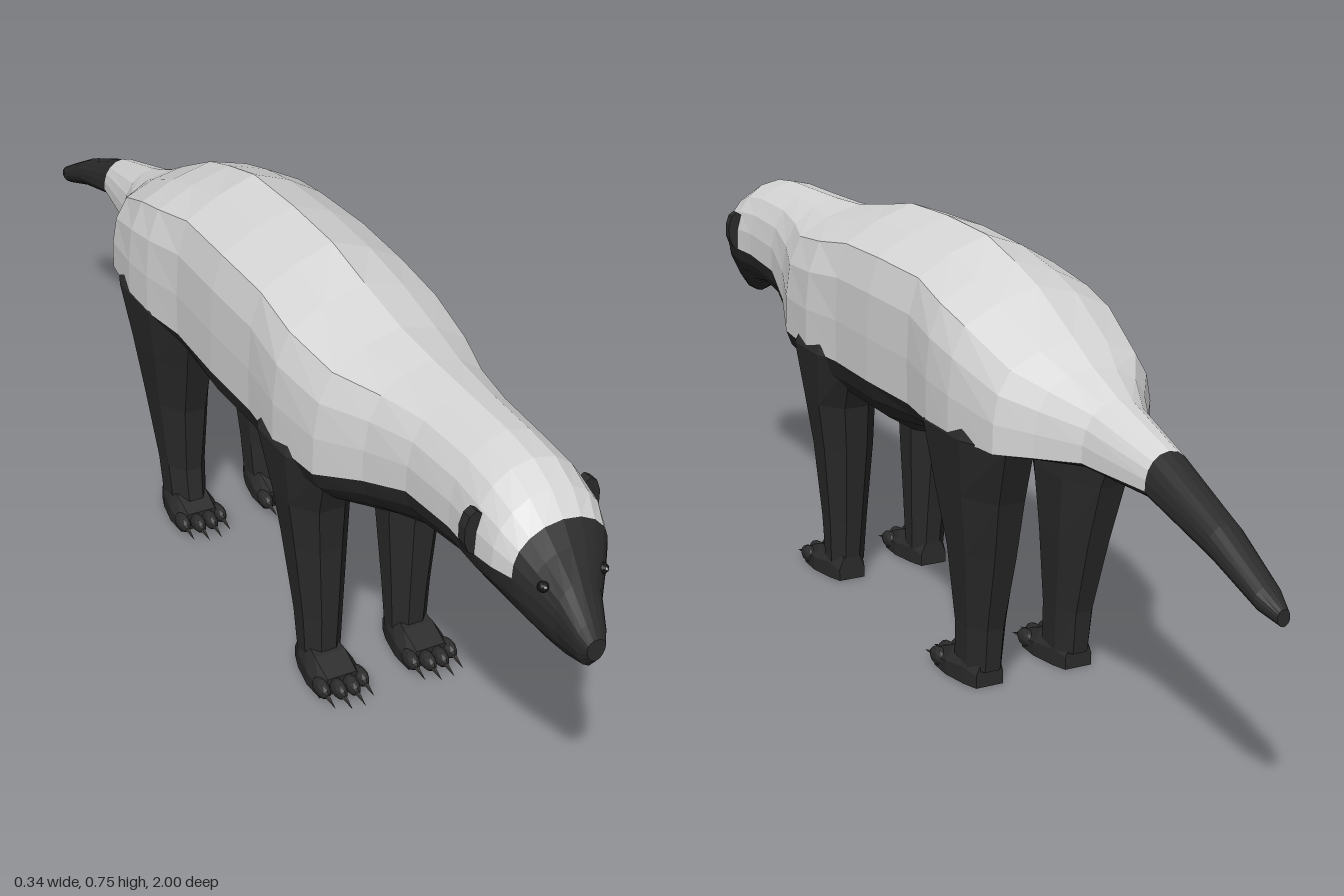
import * as THREE from 'three';

const mat = (name, color, side = THREE.FrontSide) => {
  const m = new THREE.MeshStandardMaterial({ color, flatShading: true, side });
  m.name = name;
  return m;
};

// Skin a list of rings (each counter-clockwise, seen from the start of the path)
function loft(rings, closed, cap) {
  const n = rings[0].length, pos = rings.flat(2), idx = [];
  const steps = closed ? n : n - 1;
  for (let i = 0; i < rings.length - 1; i++)
    for (let j = 0; j < steps; j++) {
      const a = i * n + j, b = i * n + (j + 1) % n;
      idx.push(a, a + n, b, b, a + n, b + n);
    }
  if (cap) {
    const last = (rings.length - 1) * n;
    for (let j = 1; j < n - 1; j++)
      idx.push(0, j, j + 1, last, last + j + 1, last + j);
  }
  const g = new THREE.BufferGeometry();
  g.setAttribute('position', new THREE.Float32BufferAttribute(pos, 3));
  g.setIndex(idx);
  const flat = g.toNonIndexed();
  flat.computeVertexNormals();
  return flat;
}

// Half profiles: [share of width, share of height], from the colour line up or down
const BACK = [[1, 0], [1, 0.28], [0.97, 0.56], [0.85, 0.78], [0.45, 0.91], [0, 1]];
const ROUND = [[1, 0], [0.98, 0.3], [0.88, 0.56], [0.68, 0.78], [0.38, 0.94], [0, 1]];
const BELLY = [[1, 0], [0.93, 0.3], [0.74, 0.6], [0.42, 0.87], [0, 1]];

const mirrorArc = half => [...half, ...half.slice(0, -1).reverse().map(([x, y, z]) => [-x, y, z])];

function upper([z, top, line, , w, r]) {
  return mirrorArc(BACK.map(([x, y], i) => [
    w * THREE.MathUtils.lerp(x, ROUND[i][0], r),
    line + (top - line) * THREE.MathUtils.lerp(y, ROUND[i][1], r), z]));
}
function lower([z, , line, bottom, w]) {
  return mirrorArc(BELLY.map(([x, y]) => [w * x, line + (bottom - line) * y, z])).reverse();
}
const fullRing = s => [...upper(s), ...lower(s).slice(1, -1)];

// Sections: z, top, colour line, bottom, half width, roundness
const FACE = [
  [1.0, 0.478, 0.462, 0.44, 0.016, 1],
  [0.985, 0.5, 0.47, 0.422, 0.026, 1],
  [0.95, 0.548, 0.495, 0.415, 0.04, 1],
  [0.92, 0.59, 0.525, 0.42, 0.064, 1],
  [0.895, 0.622, 0.545, 0.43, 0.082, 1],
];
const BODY = [
  FACE[4],
  [0.86, 0.655, 0.547, 0.45, 0.095, 1],
  [0.81, 0.678, 0.545, 0.46, 0.1, 1],
  [0.74, 0.687, 0.545, 0.462, 0.096, 0.9],
  [0.62, 0.69, 0.538, 0.442, 0.1, 0.8],
  [0.52, 0.693, 0.505, 0.41, 0.12, 0.6],
  [0.42, 0.7, 0.47, 0.375, 0.155, 0.4],
  [0.3, 0.722, 0.468, 0.355, 0.166, 0.2],
  [0.19, 0.745, 0.467, 0.348, 0.155, 0],
  [0.05, 0.75, 0.467, 0.348, 0.158, 0],
  [-0.1, 0.745, 0.466, 0.385, 0.153, 0],
  [-0.2, 0.72, 0.465, 0.42, 0.167, 0.1],
  [-0.28, 0.695, 0.464, 0.437, 0.167, 0.2],
  [-0.4, 0.635, 0.461, 0.452, 0.148, 0.4],
  [-0.46, 0.603, 0.466, 0.456, 0.107, 0.6],
  [-0.54, 0.572, 0.475, 0.46, 0.065, 0.9],
  [-0.69, 0.53, 0.472, 0.452, 0.042, 1],
];
const TAIL = [
  BODY[BODY.length - 1],
  [-0.85, 0.465, 0.43, 0.405, 0.033, 1],
  [-0.96, 0.407, 0.385, 0.365, 0.024, 1],
  [-1.0, 0.385, 0.37, 0.358, 0.011, 1],
];

// Leg rings: y, front z, back z, inner x, outer x
const FRONT_LEG = [
  [0.55, 0.39, 0.2, 0.05, 0.135],
  [0.467, 0.42, 0.175, 0.042, 0.168],
  [0.36, 0.38, 0.232, 0.038, 0.154],
  [0.27, 0.368, 0.247, 0.04, 0.141],
  [0.12, 0.36, 0.272, 0.048, 0.125],
  [0.03, 0.355, 0.285, 0.052, 0.12],
];
const HIND_LEG = [
  [0.55, -0.14, -0.37, 0.05, 0.135],
  [0.465, -0.1, -0.415, 0.042, 0.168],
  [0.36, -0.135, -0.372, 0.038, 0.154],
  [0.25, -0.172, -0.34, 0.04, 0.139],
  [0.11, -0.19, -0.3, 0.049, 0.124],
  [0.03, -0.182, -0.29, 0.052, 0.12],
];
function legRing([y, zf, zb, xi, xo]) {
  return Array.from({ length: 8 }, (_, i) => {
    const a = (i + 0.5) * Math.PI / 4, k = 1 / Math.cos(Math.PI / 8);
    return [(xi + xo) / 2 + k * Math.cos(a) * (xo - xi) / 2, y,
      (zf + zb) / 2 - k * Math.sin(a) * (zf - zb) / 2];
  });
}

export function createModel() {
  const model = new THREE.Group();
  model.name = 'animal';
  const pale = mat('pale fur', 0xd6d6d6, THREE.DoubleSide);
  const dark = mat('dark fur', 0x2b2b2b, THREE.DoubleSide);
  const claw = mat('claw', 0x3c3a38);
  const black = mat('eye and nose', 0x141414);
  const white = mat('eye glint', 0xe8e8e8);
  const add = (parent, name, geo, m, p = [0, 0, 0], s = [1, 1, 1]) => {
    const mesh = new THREE.Mesh(geo, m);
    mesh.name = name;
    mesh.position.set(...p);
    mesh.scale.set(...s);
    parent.add(mesh);
    return mesh;
  };

  // Body, face and tail
  add(model, 'mantle', loft(BODY.map(upper), false, false), pale);
  add(model, 'underside', loft(BODY.map(lower), false, false), dark);
  add(model, 'face', loft(FACE.map(fullRing), true, true), dark);
  add(model, 'tailTip', loft(TAIL.map(fullRing), true, true), dark);
  add(model, 'nose', new THREE.IcosahedronGeometry(1, 1), black, [0, 0.462, 0.984], [0.018, 0.016, 0.016]);

  // Ears and eyes
  const ball = new THREE.IcosahedronGeometry(1, 1);
  for (const side of [1, -1]) {
    const ear = add(model, side > 0 ? 'leftEar' : 'rightEar', new THREE.CylinderGeometry(1, 1, 1, 10),
      dark, [side * 0.098, 0.582, 0.81], [0.019, 0.018, 0.038]);
    ear.rotation.x = Math.PI / 2;
    add(model, 'eye', ball, black, [side * 0.051, 0.543, 0.93], [0.009, 0.009, 0.009]);
    add(model, 'eyeGlint', ball, white, [side * 0.052, 0.546, 0.938], [0.0025, 0.0025, 0.0025]);
  }

  // Legs with paws, toes and claws
  const footShape = [[1, 0], [1, 0.5], [0.65, 1], [-0.65, 1], [-1, 0.5], [-1, 0]];
  const footRing = ([z, w, h]) => footShape.map(([x, y]) => [x * w, y * h, z]);
  const footGeo = loft([[0.125, 0.043, 0.034], [0.08, 0.045, 0.052], [0.03, 0.036, 0.062],
    [0, 0.026, 0.045]].map(footRing), true, true);
  const clawGeo = new THREE.ConeGeometry(0.006, 0.04, 5).rotateX(Math.PI / 2 + 0.2);

  function addLeg(name, rings, heel, side) {
    const leg = new THREE.Group();
    leg.name = name;
    const shaped = rings.map(legRing).map(r => side > 0 ? r : r.map(([x, y, z]) => [-x, y, z]).reverse());
    add(leg, 'limb', loft(shaped, true, true), dark);
    const foot = new THREE.Group();
    foot.name = 'foot';
    foot.position.set(side * 0.0875, 0, heel);
    add(foot, 'paw', footGeo, dark);
    for (let i = 0; i < 4; i++) {
      const x = (i - 1.5) * 0.025, z = i % 3 ? 0.135 : 0.12;
      add(foot, 'toe', ball, dark, [x, 0.018, z], [0.0125, 0.017, 0.026]);
      add(foot, 'claw', clawGeo, claw, [x, 0.013, z + 0.033]);
    }
    leg.add(foot);
    model.add(leg);
  }
  for (const side of [1, -1]) {
    const s = side > 0 ? 'left' : 'right';
    addLeg(s + 'FrontLeg', FRONT_LEG, 0.283, side);
    addLeg(s + 'HindLeg', HIND_LEG, -0.282, side);
  }
  return model;
}
